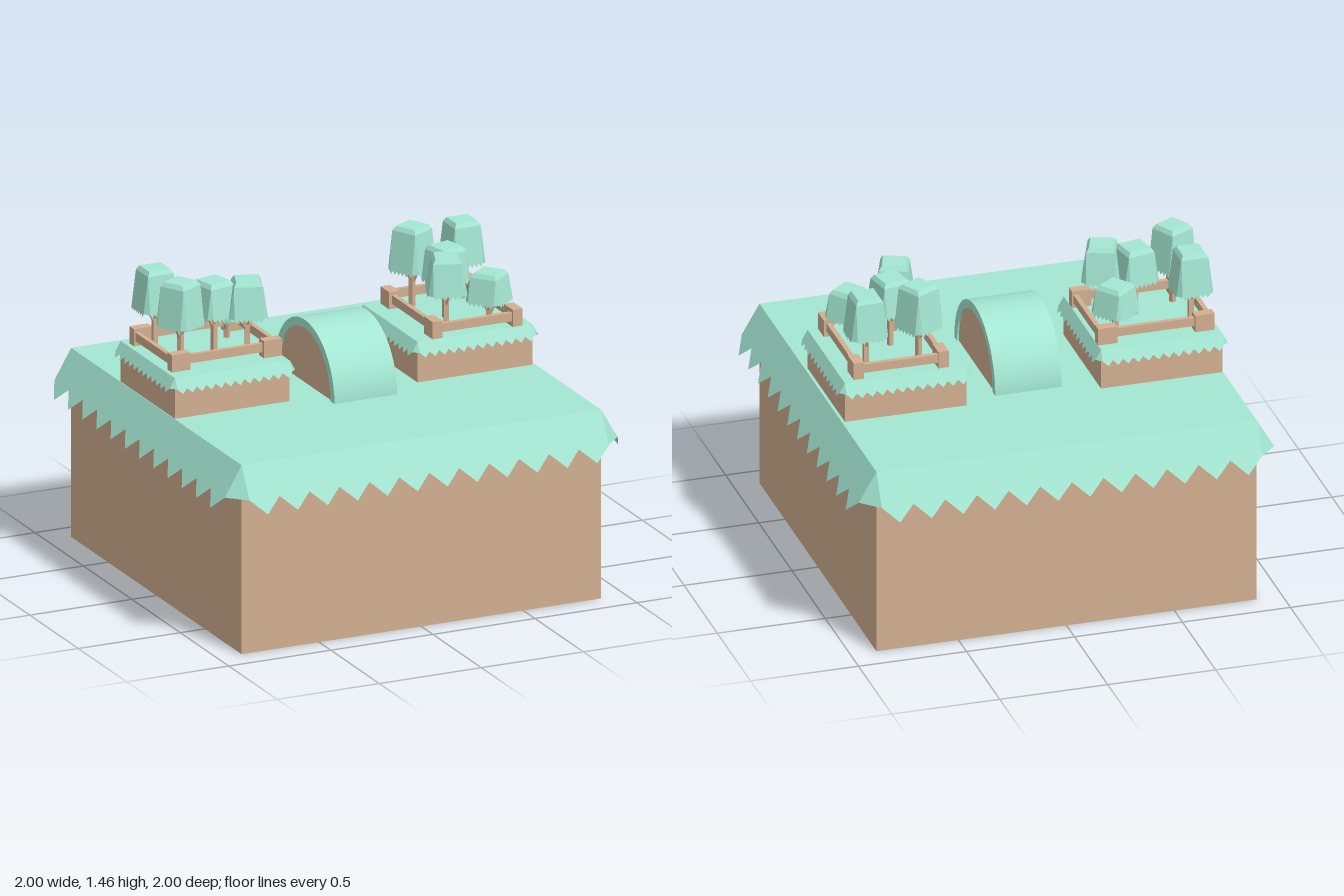
import * as THREE from 'three';
import { mergeGeometries, toCreasedNormals } from 'three/addons/utils/BufferGeometryUtils.js';

const green = new THREE.MeshStandardMaterial({ color: 0xa3e6d1, side: THREE.DoubleSide });
const brown = new THREE.MeshStandardMaterial({ color: 0xd2af91 });

function add(parent, name, geometry, material, x = 0, y = 0, z = 0) {
  const mesh = new THREE.Mesh(geometry, material);
  mesh.name = name;
  mesh.position.set(x, y, z);
  parent.add(mesh);
  return mesh;
}

// box standing on y
function box(parent, name, w, h, d, x, y, z) {
  return add(parent, name, new THREE.BoxGeometry(w, h, d), brown, x, y + h / 2, z);
}

// Square cover with its rim at y = 0: flared sides, cut corners and a zigzag hem.
// half: rim half width, flare/drop: out and down to the notches, tip: tooth reach
// as a multiple of that, bevel: [height, inset] of a raised top.
function coverGeometry(half, flare, drop, tip, teeth, bevel = [0, 0]) {
  const pts = [];
  const tri = (...corners) => corners.forEach((c) => pts.push(...c));
  const [rise, inset] = bevel;
  const cap = half - inset;
  const hem = (x, t) => [x, -drop * t, half + flare * t];
  const a = [-half, 0, half], b = [half, 0, half];
  const c = [cap, rise, cap], d = [-cap, rise, cap];

  tri(a, hem(-half, 1), hem(half, 1));
  tri(a, hem(half, 1), b);
  tri(b, hem(half, 1), [half + flare, -drop, half]);
  const step = (2 * half) / teeth;
  for (let i = 0; i < teeth; i++) {
    const x = -half + i * step;
    tri(hem(x, 1), hem(x + step / 2, tip), hem(x + step, 1));
  }
  if (rise > 0) {
    tri(a, b, c);
    tri(a, c, d);
  }
  tri(d, c, [0, rise, 0]);

  const side = new THREE.BufferGeometry();
  side.setAttribute('position', new THREE.Float32BufferAttribute(pts, 3));
  side.computeVertexNormals();
  return mergeGeometries([0, 1, 2, 3].map((k) => side.clone().rotateY((k * Math.PI) / 2)));
}

// block of earth with a grass cover
function earthBlock(parent, half, height, flare, drop) {
  box(parent, 'earth', half * 2, height - 0.003, half * 2, 0, 0, 0);
  add(parent, 'grass', coverGeometry(half, flare, drop, 1.46, 12), green, 0, height, 0);
}

// square stick between two points
function stick(parent, name, from, to, width) {
  const a = new THREE.Vector3(...from), b = new THREE.Vector3(...to);
  const mesh = add(parent, name, new THREE.BoxGeometry(width, a.distanceTo(b), width), brown);
  mesh.position.copy(a).add(b).multiplyScalar(0.5);
  mesh.quaternion.setFromUnitVectors(new THREE.Vector3(0, 1, 0), b.sub(a).normalize());
}

// tree standing on y = 0: forked trunk under a tapered leaf crown
function makeTree(top, bottom, half, flare) {
  const tree = new THREE.Group();
  tree.name = 'tree';
  const rise = 0.02, drop = top - rise - bottom - 0.015;
  add(tree, 'leaves', coverGeometry(half, flare, drop, 1 + 0.015 / drop, 6, [rise, 0.012]),
    green, 0, top - rise, 0);
  stick(tree, 'trunk', [0, 0, 0], [0, bottom + 0.06, 0], 0.022);
  for (const s of [-1, 1]) {
    stick(tree, 'branch', [0, bottom - 0.055, 0], [s * 0.045, bottom + 0.03, 0], 0.012);
    stick(tree, 'branch', [0, bottom - 0.04, 0], [0, bottom + 0.03, s * 0.04], 0.012);
  }
  return tree;
}

// raised garden: small earth block, fence and five trees
function makeGarden() {
  const garden = new THREE.Group();
  garden.name = 'garden';
  const ground = 0.19;
  earthBlock(garden, 0.281, ground, 0.0256, 0.045);

  const xs = [-0.215, 0.235], zs = [-0.21, 0.182];
  for (const x of xs) for (const z of zs) box(garden, 'fencePost', 0.09, 0.08, 0.048, x, ground, z);
  for (const z of zs) box(garden, 'fenceRail', 0.45, 0.04, 0.022, 0.01, ground + 0.025, z);
  for (const x of [-0.243, 0.263]) box(garden, 'fenceRail', 0.022, 0.04, 0.392, x, ground + 0.025, -0.014);

  // x, z, turn in degrees, top, bottom, half width, flare
  const trees = [
    [-0.174, -0.152, 0, 0.37, 0.165, 0.063, 0.022],
    [-0.166, 0.095, 28, 0.38, 0.165, 0.063, 0.022],
    [0.031, 0.025, 12, 0.335, 0.165, 0.065, 0.02],
    [0.166, 0.085, -20, 0.34, 0.16, 0.065, 0.022],
    [0.166, -0.125, 38, 0.235, 0.09, 0.063, 0.022],
  ];
  for (const [x, z, turn, ...size] of trees) {
    const tree = makeTree(...size);
    tree.position.set(x, ground, z);
    tree.rotation.y = THREE.MathUtils.degToRad(turn);
    garden.add(tree);
  }
  return garden;
}

// half-round extrusion lying along x; inner = 0 makes it solid
function halfRound(outer, inner, length) {
  const shape = new THREE.Shape();
  shape.absarc(0, 0, outer, 0, Math.PI, false);
  if (inner > 0) shape.absarc(0, 0, inner, Math.PI, 0, true);
  shape.closePath();
  const geometry = new THREE.ExtrudeGeometry(shape, { depth: length, bevelEnabled: false, curveSegments: 32 });
  geometry.translate(0, 0, -length / 2).rotateY(Math.PI / 2);
  return toCreasedNormals(geometry, 0.5);
}

export function createModel() {
  const model = new THREE.Group();
  model.name = 'gardenIsland';
  const ground = 0.885;

  const base = new THREE.Group();
  base.name = 'base';
  earthBlock(base, 0.88, ground, 0.082, 0.14);
  model.add(base);

  // mound in the middle
  add(model, 'moundGrass', halfRound(0.308, 0.268, 0.307), green, 0, ground, 0).scale.y = 0.97;
  add(model, 'moundEarth', halfRound(0.27, 0, 0.29), brown, 0, ground, 0).scale.y = 0.97;

  // the same garden twice, the second turned a quarter
  const right = makeGarden();
  right.position.set(-0.596, ground, -0.095);
  const left = makeGarden();
  left.position.set(0.585, ground, -0.08);
  left.rotation.y = -Math.PI / 2;
  model.add(right, left);
  return model;
}
